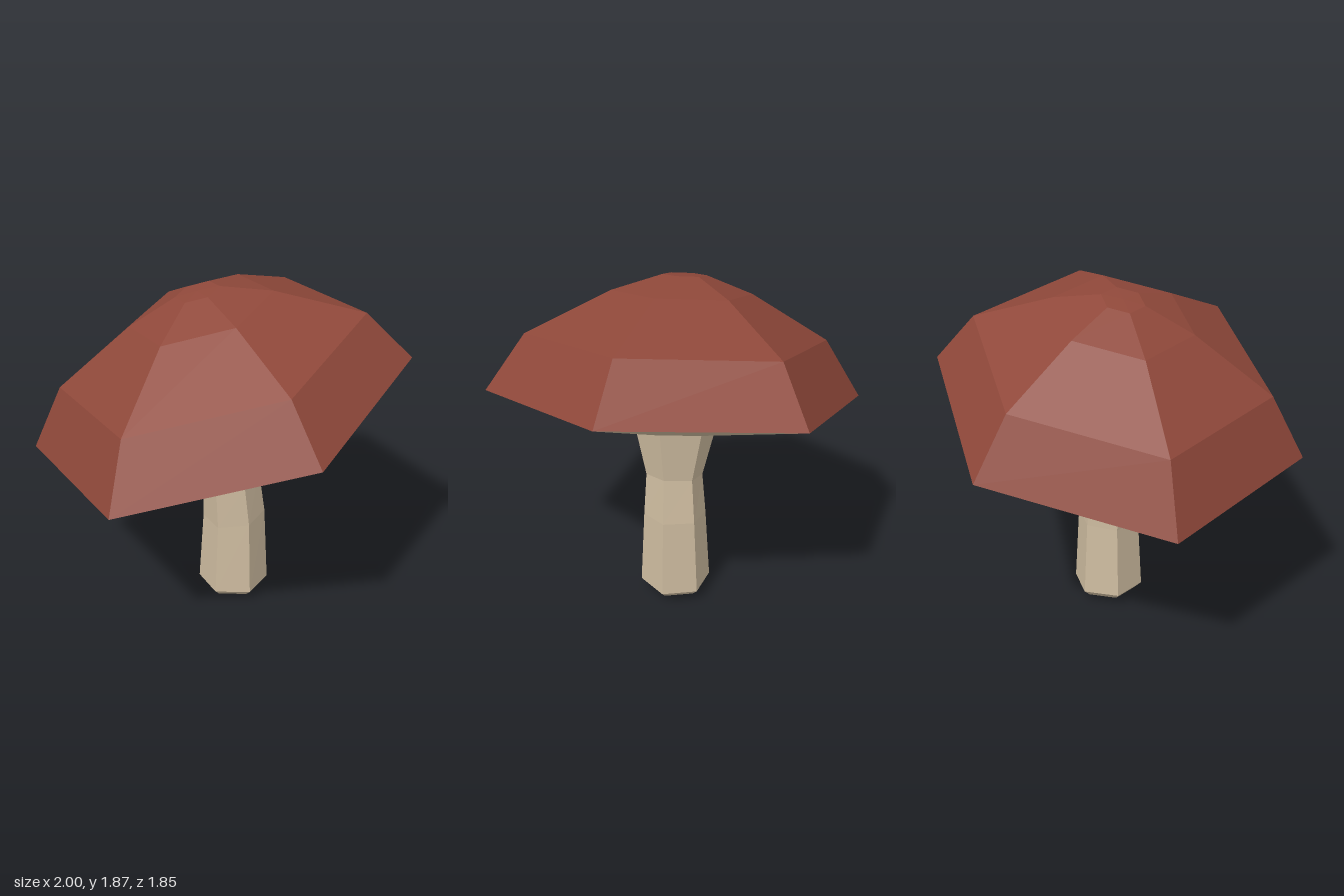
import * as THREE from 'three';

const SIDES = 6;
const TURN = 3.02;             // angle of the first corner, seen from above
const TILT = [0.117, -0.257];  // rise of a tilted ring along x and z

// Hexagonal ring: centre x, y, z, radius and share of the cap's tilt
function ring([x, y, z, r, tilt = 0]) {
  return Array.from({ length: SIDES }, (_, i) => {
    const a = TURN + (i / SIDES) * Math.PI * 2;
    const dx = r * Math.cos(a), dz = -r * Math.sin(a);
    return [x + dx, y + tilt * (TILT[0] * dx + TILT[1] * dz), z + dz];
  });
}

// Faceted skin through successive rings; a ring of radius 0 closes an end
function loft(name, specs, material) {
  const rings = specs.map(ring);
  const points = [];
  for (let k = 0; k < rings.length - 1; k++) {
    const lo = rings[k], up = rings[k + 1];
    for (let i = 0; i < SIDES; i++) {
      const j = (i + 1) % SIDES;
      if (specs[k][3] > 0) points.push(...lo[i], ...lo[j], ...up[j]);
      if (specs[k + 1][3] > 0) points.push(...lo[i], ...up[j], ...up[i]);
      else if (specs[k][3] > 0) continue;
    }
  }
  const geometry = new THREE.BufferGeometry();
  geometry.setAttribute('position', new THREE.Float32BufferAttribute(points, 3));
  geometry.computeVertexNormals();
  const mesh = new THREE.Mesh(geometry, material);
  mesh.name = name;
  return mesh;
}

export function createModel() {
  const red = new THREE.MeshStandardMaterial({ color: 0x8f483a, flatShading: true });
  red.name = 'cap red';
  const cream = new THREE.MeshStandardMaterial({ color: 0xcdbb9f, flatShading: true });
  cream.name = 'stem cream';

  const rim = [0, 1.21, 0, 1.005, 1];
  const stemTop = [0.015, 1.02, -0.03, 0.22, 1];

  const group = new THREE.Group();
  group.name = 'mushroom';

  // Domed cap, leaning up towards the back
  group.add(loft('cap', [
    rim,
    [-0.02, 1.517, 0.043, 0.8, 1],
    [-0.05, 1.75, 0.08, 0.37, 1],
    [-0.065, 1.84, 0.09, 0.115, 1],
    [-0.065, 1.845, 0.09, 0],
  ], red));

  // Shallow underside from the stem out to the rim
  group.add(loft('capUnderside', [stemTop, rim], cream));

  // Stem with a rounded foot and a narrow neck
  group.add(loft('stem', [
    [0.03, 0, -0.08, 0],
    [0.03, 0.037, -0.08, 0.157],
    [0.03, 0.075, -0.08, 0.196],
    [0.033, 0.51, -0.08, 0.172, 0.4],
    [0.03, 0.745, -0.06, 0.155, 1],
    stemTop,
  ], cream));

  return group;
}
